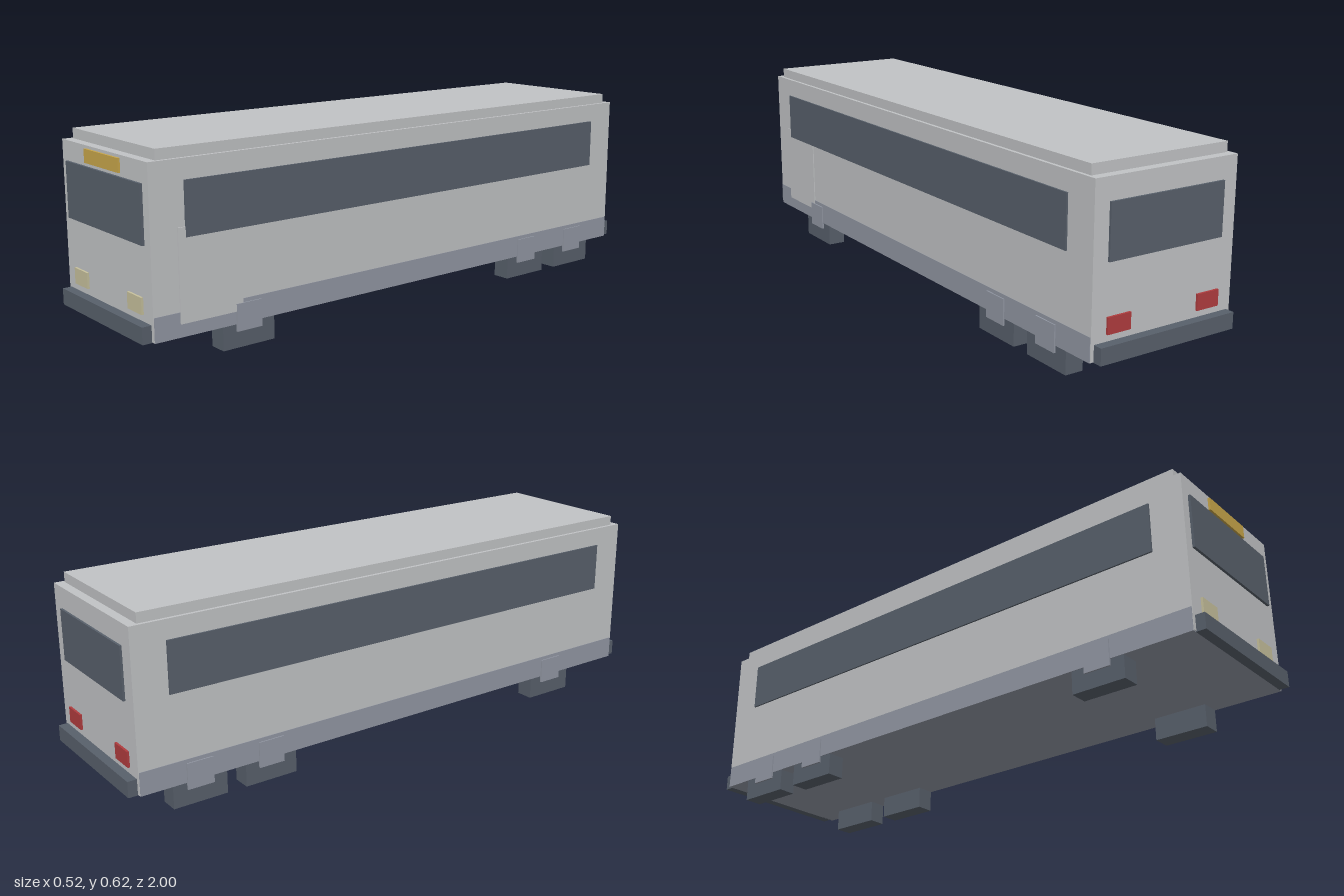
import * as THREE from 'three';

const mat = (name, color) => {
  const m = new THREE.MeshStandardMaterial({ color });
  m.name = name;
  return m;
};

export function createModel() {
  const bus = new THREE.Group();
  bus.name = 'bus';
  const paint = mat('light grey paint', 0xc1c3c5);
  const dark = mat('dark slate', 0x58606b);
  const trim = mat('blue grey trim', 0x9297a3);
  const amber = mat('amber', 0xc8a64a);
  const cream = mat('cream lamp', 0xc6c09c);
  const red = mat('red lamp', 0xb03c3e);

  // Box given by its lower and upper limits on each axis
  const box = (name, material, [x0, x1], [y0, y1], [z0, z1]) => {
    const mesh = new THREE.Mesh(new THREE.BoxGeometry(x1 - x0, y1 - y0, z1 - z0), material);
    mesh.position.set((x0 + x1) / 2, (y0 + y1) / 2, (z0 + z1) / 2);
    mesh.name = name;
    bus.add(mesh);
  };
  // Limits mirrored to the chosen side
  const side = (s, a, b) => (s > 0 ? [a, b] : [-b, -a]);

  // Shell, roof and lower skirt
  box('body', paint, [-0.256, 0.256], [0.075, 0.583], [-0.97, 0.97]);
  box('roof', paint, [-0.245, 0.245], [0.583, 0.615], [-0.94, 0.94]);
  box('skirt', trim, [-0.2575, 0.2575], [0.073, 0.147], [-0.968, 0.968]);

  // Front and rear glass, destination panel
  box('windscreen', dark, [-0.224, 0.224], [0.347, 0.521], [0.97, 0.978]);
  box('rearWindow', dark, [-0.205, 0.205], [0.35, 0.515], [-0.977, -0.97]);
  box('destinationPanel', amber, [-0.103, 0.103], [0.532, 0.574], [0.97, 0.977]);

  // Door on the left side
  box('door', paint, [0.25, 0.2595], [0.112, 0.39], [0.675, 0.885]);

  for (const s of [1, -1]) {
    box('sideWindow', dark, side(s, 0.253, 0.2615), [0.36, 0.522], [-0.86, 0.86]);
    box('headlight', cream, side(s, 0.123, 0.204), [0.145, 0.195], [0.97, 0.977]);
    box('tailLight', red, side(s, 0.123, 0.204), [0.145, 0.195], [-0.977, -0.97]);
    box('bumper', dark, [-0.245, 0.245], [0.073, 0.124], side(s, 0.965, 1));

    // Square wheels with square hubs
    for (const z of [0.655, -0.53, -0.775]) {
      box('wheel', dark, side(s, 0.195, 0.2555), [0, 0.18], [z - 0.09, z + 0.09]);
      box('hub', trim, side(s, 0.25, 0.2615), [0.051, 0.135], [z - 0.044, z + 0.044]);
    }
  }
  return bus;
}
